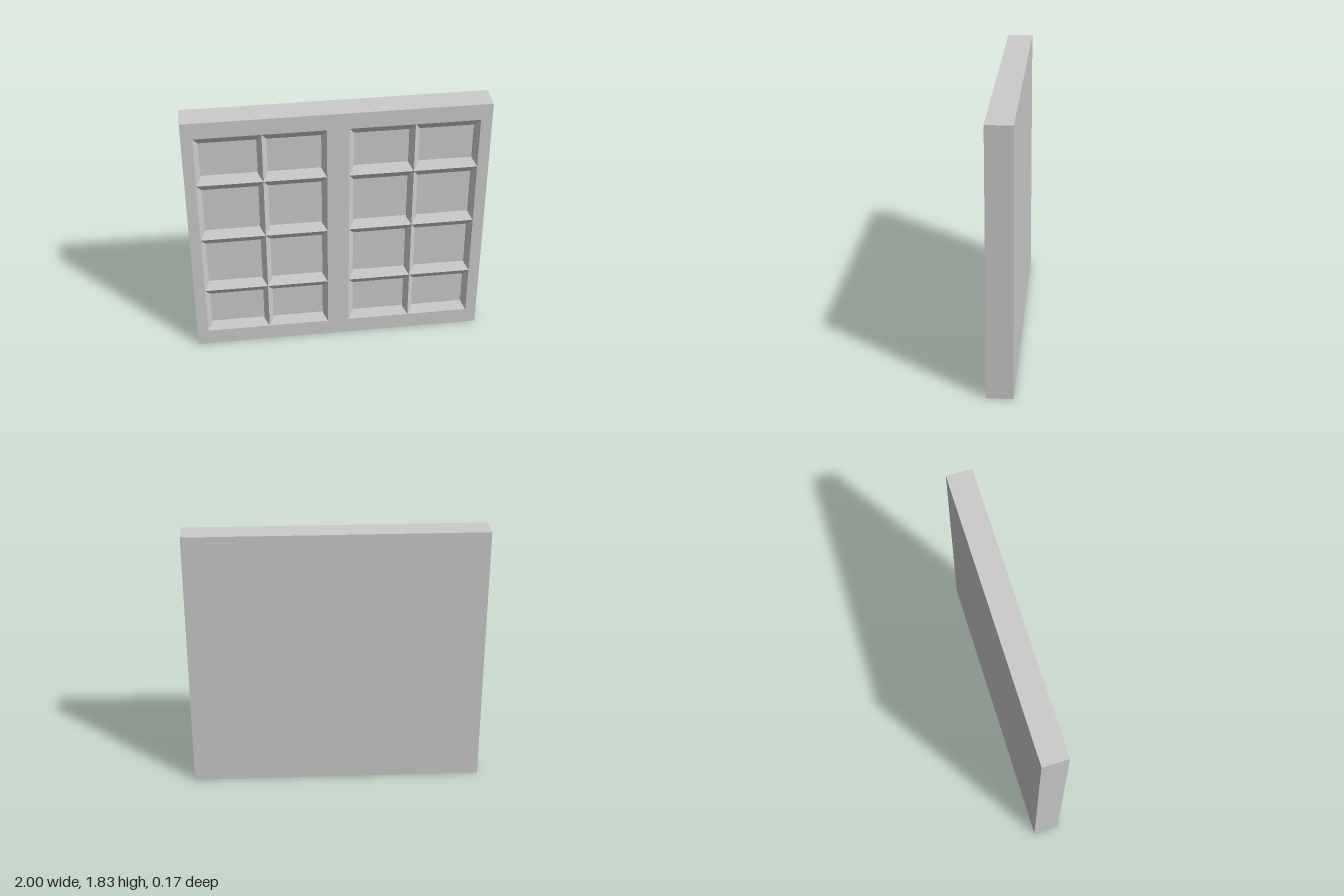
import * as THREE from 'three';

const WIDTH = 2, HEIGHT = 1.83, FRONT = 0.0875;
const BEVEL_X = 0.032, BEVEL_Y = 0.05, BEVEL_DEPTH = 0.03, PANE_DEPTH = 0.047;

const material = new THREE.MeshStandardMaterial({ color: 0xcccccc, flatShading: true });

// Four corners, counter-clockwise from the front
const rect = (x0, x1, y0, y1, z) => [[x0, y0, z], [x1, y0, z], [x1, y1, z], [x0, y1, z]];

// Joins successive rectangles and caps the last one; flip turns a recess into a solid
function loft(rects, flip = false) {
  const positions = [];
  const quad = (a, b, c, d) => {
    const corners = flip ? [a, c, b, a, d, c] : [a, b, c, a, c, d];
    corners.forEach((p) => positions.push(...p));
  };
  for (let r = 0; r < rects.length - 1; r++) {
    for (let i = 0; i < 4; i++) {
      const j = (i + 1) % 4;
      quad(rects[r][i], rects[r][j], rects[r + 1][j], rects[r + 1][i]);
    }
  }
  quad(...rects[rects.length - 1]);
  const geometry = new THREE.BufferGeometry();
  geometry.setAttribute('position', new THREE.Float32BufferAttribute(positions, 3));
  geometry.computeVertexNormals();
  return geometry;
}

function addMesh(parent, name, geometry) {
  const mesh = new THREE.Mesh(geometry, material);
  mesh.name = name;
  parent.add(mesh);
  return mesh;
}

export function createModel() {
  const model = new THREE.Group();
  model.name = 'doubleWindow';

  // Glazing lines: ridges of the muntins and edges of the sashes
  const sashes = [
    { name: 'rightSash', xs: [-0.925, -0.49, -0.073] },
    { name: 'leftSash', xs: [0.073, 0.5, 0.925] },
  ];
  const ys = [0.118, 0.48, 0.917, 1.355, 1.715];

  // Sides and back of the slab
  const w = WIDTH / 2;
  addMesh(model, 'frameBody', loft([
    rect(-w, w, 0, HEIGHT, FRONT),
    rect(-w, w, 0, HEIGHT, -FRONT),
  ], true));

  // Flat front of the frame with an opening for each sash
  const toPoints = (r) => r.map(([x, y]) => new THREE.Vector2(x, y));
  const face = new THREE.Shape(toPoints(rect(-w, w, 0, HEIGHT, 0)));
  for (const { xs } of sashes) {
    face.holes.push(new THREE.Path(toPoints(rect(xs[0], xs[2], ys[0], ys[4], 0)).reverse()));
  }
  addMesh(model, 'frameFront', new THREE.ShapeGeometry(face)).position.z = FRONT;

  // Panes: bevel down from the ridges, a short step, then the flat pane
  for (const { name, xs } of sashes) {
    const sash = new THREE.Group();
    sash.name = name;
    for (let i = 0; i < xs.length - 1; i++) {
      for (let j = 0; j < ys.length - 1; j++) {
        const inner = [xs[i] + BEVEL_X, xs[i + 1] - BEVEL_X, ys[j] + BEVEL_Y, ys[j + 1] - BEVEL_Y];
        addMesh(sash, 'pane', loft([
          rect(xs[i], xs[i + 1], ys[j], ys[j + 1], FRONT),
          rect(...inner, FRONT - BEVEL_DEPTH),
          rect(...inner, FRONT - PANE_DEPTH),
        ]));
      }
    }
    model.add(sash);
  }
  return model;
}
